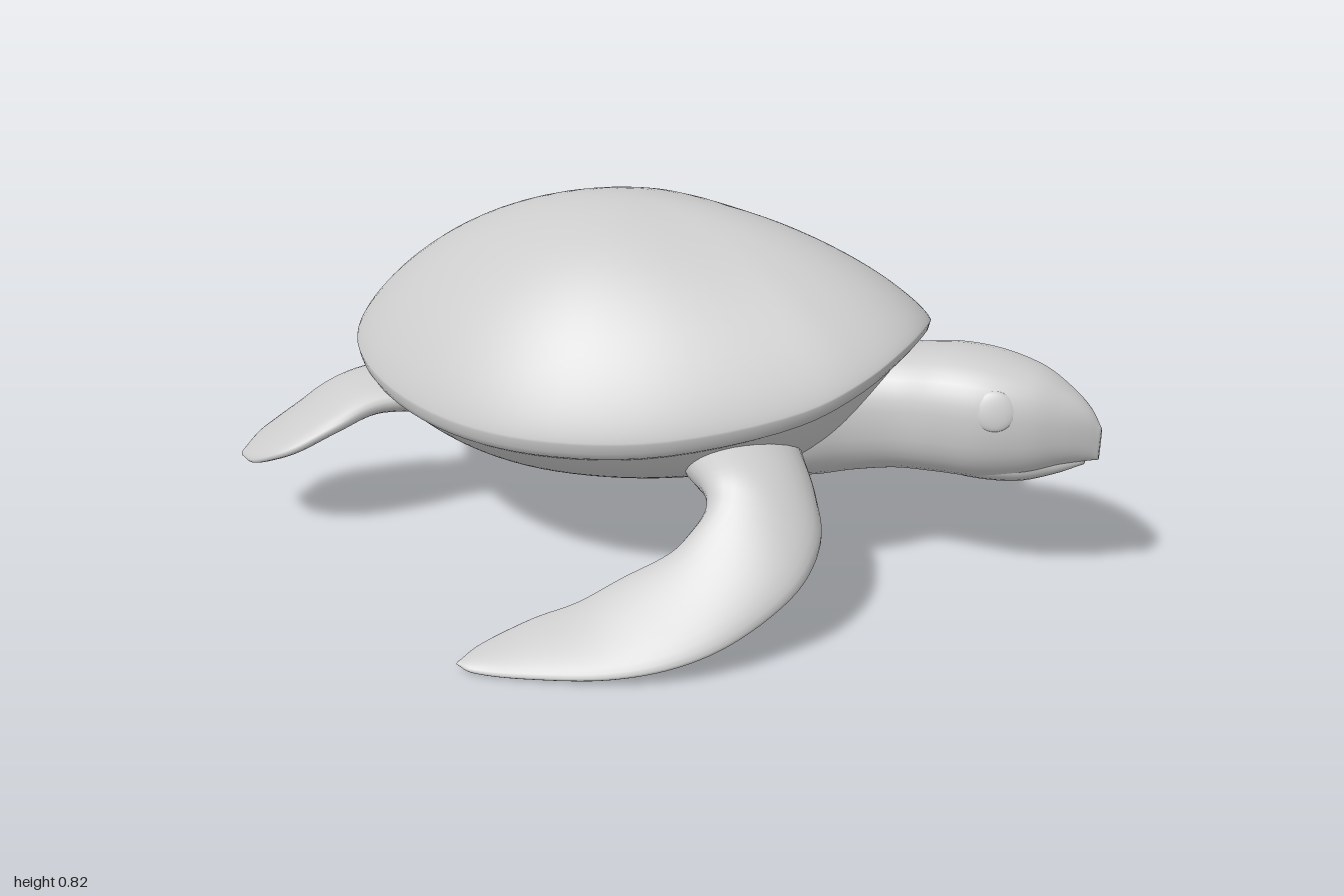
import * as THREE from 'three';

const material = new THREE.MeshStandardMaterial({ color: 0xcccccc });
const V = (x, y, z) => new THREE.Vector3(x, y, z);

// Smooth closed skin over a list of rings, with a centre point capping each end
function skin(rings) {
  const n = rings[0].length, last = rings.length - 1;
  const pts = rings.flat();
  const mean = (ring) => ring.reduce((s, p) => s.add(p), V(0, 0, 0)).divideScalar(n);
  const a = pts.push(mean(rings[0])) - 1;
  const b = pts.push(mean(rings[last])) - 1;
  const index = [];
  for (let j = 0; j < n; j++) {
    const k = (j + 1) % n;
    for (let i = 0; i < last; i++) {
      const p = i * n;
      index.push(p + j, p + k, p + n + j, p + k, p + n + k, p + n + j);
    }
    index.push(a, k, j, b, last * n + j, last * n + k);
  }
  // Turn the faces outward if the enclosed volume comes out negative
  let volume = 0;
  for (let i = 0; i < index.length; i += 3) {
    volume += pts[index[i]].dot(pts[index[i + 1]].clone().cross(pts[index[i + 2]]));
  }
  if (volume < 0) index.reverse();
  const geometry = new THREE.BufferGeometry().setFromPoints(pts);
  geometry.setIndex(index);
  geometry.computeVertexNormals();
  return geometry;
}

// Oval sections spanning two edge curves; rows are [edge A, edge B, half thickness]
function loft(rows, side = 1, steps = 40, sides = 28, power = 1) {
  const curve = (f) => new THREE.CatmullRomCurve3(rows.map(f), false, 'catmullrom');
  const edgeA = curve((r) => V(r[0][0] * side, r[0][1], r[0][2]));
  const edgeB = curve((r) => V(r[1][0] * side, r[1][1], r[1][2]));
  const thick = curve((r) => V(r[2], 0, 0));
  const mid = (t) => edgeA.getPoint(t).add(edgeB.getPoint(t)).multiplyScalar(0.5);
  const soft = (v) => Math.sign(v) * Math.abs(v) ** power;
  const rings = [];
  for (let i = 0; i <= steps; i++) {
    const t = i / steps;
    const centre = mid(t);
    const half = edgeA.getPoint(t).sub(edgeB.getPoint(t)).multiplyScalar(0.5);
    const along = mid(Math.min(1, t + 0.01)).sub(mid(Math.max(0, t - 0.01)));
    const across = along.cross(half).normalize().multiplyScalar(thick.getPoint(t).x);
    rings.push(Array.from({ length: sides }, (_, j) => {
      const q = (j / sides) * Math.PI * 2;
      return centre.clone().addScaledVector(half, soft(Math.cos(q))).addScaledVector(across, soft(Math.sin(q)));
    }));
  }
  return skin(rings);
}

// Shell rim from the front centre round to the back: half width, height, z
const RIM = [[0, 0.55, 0.73], [0.11, 0.535, 0.715], [0.22, 0.49, 0.66], [0.325, 0.435, 0.555], [0.49, 0.375, 0.275],
  [0.555, 0.355, 0], [0.525, 0.35, -0.25], [0.4, 0.36, -0.51], [0.21, 0.375, -0.7], [0, 0.38, -0.78]];

function rimPoints() {
  const left = RIM.map((p) => V(...p));
  const right = RIM.slice(1, -1).reverse().map(([x, y, z]) => V(-x, y, z));
  return new THREE.CatmullRomCurve3([...left, ...right], true).getPoints(96).slice(0, 96);
}

function shellGeometry() {
  const rim = rimPoints(), rings = [];
  for (let i = 1; i <= 24; i++) {
    const t = Math.sin((i / 24) * Math.PI / 2);
    rings.push(rim.map((p) => {
      const base = p.y + 0.045;
      return V(p.x * t, base + (0.83 - base) * Math.max(0, 1 - t * t) ** 0.8, p.z * t);
    }));
  }
  // Rounded lip turned under the edge
  for (const [t, dy] of [[0.993, 0.024], [0.978, 0.008], [0.955, 0], [0.9, 0.015]]) {
    rings.push(rim.map((p) => V(p.x * t, p.y + dy, p.z * t)));
  }
  return skin(rings);
}

function bodyGeometry() {
  const rim = rimPoints(), rings = [];
  rings.push(rim.map((p) => V(p.x * 0.85, p.y + 0.06, p.z * 0.85)));
  for (let i = 32; i >= 1; i--) {
    const t = Math.sin((i / 32) * Math.PI / 2);
    rings.push(rim.map((p) => {
      // Shallow keel that turns up steeply at the rim, and a full chest
      const keel = 0.6 * t ** 1.3 + 0.4 * t ** 8;
      const chest = Math.max(0, p.z / 0.73) ** 2;
      const rise = THREE.MathUtils.lerp(keel, t ** 4, chest);
      return V(p.x * t * 0.97, 0.165 + (p.y - 0.15) * rise, p.z * t * 0.97);
    }));
  }
  return skin(rings);
}

const FRONT_FLIPPER = [
  [[0.12, 0.34, 0.46], [0.22, 0.34, 0.2], 0.06],
  [[0.24, 0.31, 0.53], [0.35, 0.335, 0.26], 0.085],
  [[0.335, 0.27, 0.59], [0.452, 0.33, 0.36], 0.078],
  [[0.424, 0.22, 0.635], [0.496, 0.29, 0.39], 0.06],
  [[0.545, 0.16, 0.626], [0.538, 0.24, 0.368], 0.045],
  [[0.671, 0.09, 0.543], [0.576, 0.2, 0.333], 0.034],
  [[0.764, 0.047, 0.44], [0.63, 0.15, 0.248], 0.027],
  [[0.832, 0.02, 0.305], [0.689, 0.1, 0.167], 0.022],
  [[0.885, 0.01, 0.138], [0.748, 0.07, 0.085], 0.018],
  [[0.912, 0.012, 0.03], [0.835, 0.037, 0.008], 0.013],
  [[0.905, 0.017, -0.018], [0.899, 0.019, -0.019], 0.003],
];

const REAR_FLIPPER = [
  [[0.24, 0.345, -0.3], [0.06, 0.345, -0.5], 0.045],
  [[0.33, 0.34, -0.4], [0.16, 0.345, -0.59], 0.055],
  [[0.412, 0.335, -0.51], [0.255, 0.345, -0.67], 0.043],
  [[0.492, 0.3, -0.58], [0.285, 0.31, -0.745], 0.036],
  [[0.55, 0.25, -0.665], [0.312, 0.265, -0.8], 0.032],
  [[0.566, 0.22, -0.735], [0.345, 0.225, -0.85], 0.026],
  [[0.553, 0.195, -0.8], [0.4, 0.2, -0.878], 0.018],
  [[0.51, 0.183, -0.862], [0.488, 0.183, -0.874], 0.004],
];

// Section with a top and bottom height at a distance along the body
const slice = (z, top, bottom, half) => [[0, top, z], [0, bottom, z], half];

const HEAD = [
  slice(0.35, 0.53, 0.19, 0.24), slice(0.5, 0.545, 0.205, 0.2), slice(0.6, 0.545, 0.23, 0.16),
  slice(0.7, 0.55, 0.252, 0.142), slice(0.8, 0.565, 0.262, 0.147), slice(0.9, 0.563, 0.268, 0.142),
  slice(1.0, 0.542, 0.29, 0.11), slice(1.07, 0.505, 0.32, 0.07), slice(1.12, 0.465, 0.336, 0.034),
  slice(1.15, 0.42, 0.343, 0.008),
];

const JAW = [
  slice(0.78, 0.39, 0.268, 0.09), slice(0.88, 0.39, 0.262, 0.1), slice(0.98, 0.37, 0.27, 0.082),
  slice(1.06, 0.355, 0.298, 0.048), slice(1.12, 0.348, 0.328, 0.014),
];

export function createModel() {
  const model = new THREE.Group();
  model.name = 'turtle';
  const add = (name, geometry) => {
    const mesh = new THREE.Mesh(geometry, material);
    mesh.name = name;
    model.add(mesh);
    return mesh;
  };

  add('shell', shellGeometry());
  add('body', bodyGeometry());
  add('headAndNeck', loft(HEAD, 1, 54, 36, 0.85));
  add('lowerJaw', loft(JAW, 1, 24, 28, 0.85));

  // Paired parts
  for (const [label, side] of [['left', 1], ['right', -1]]) {
    add(label + 'FrontFlipper', loft(FRONT_FLIPPER, side, 60));
    add(label + 'RearFlipper', loft(REAR_FLIPPER, side, 44));
    const eye = add(label + 'Eye', new THREE.SphereGeometry(0.046, 24, 16));
    eye.scale.set(0.25, 1, 1);
    eye.position.set(side * 0.12, 0.47, 0.93);
    eye.rotation.set(0, side * -0.25, side * 0.3);
  }

  // Short pointed tail under the back rim
  const tail = add('tail', new THREE.ConeGeometry(0.04, 0.2, 20));
  tail.rotation.x = -Math.PI / 2;
  tail.position.set(0, 0.362, -0.73);

  // The animal faces a little to its left
  model.rotation.y = Math.PI / 6;
  const root = new THREE.Group();
  root.name = 'model';
  root.add(model);
  return root;
}
